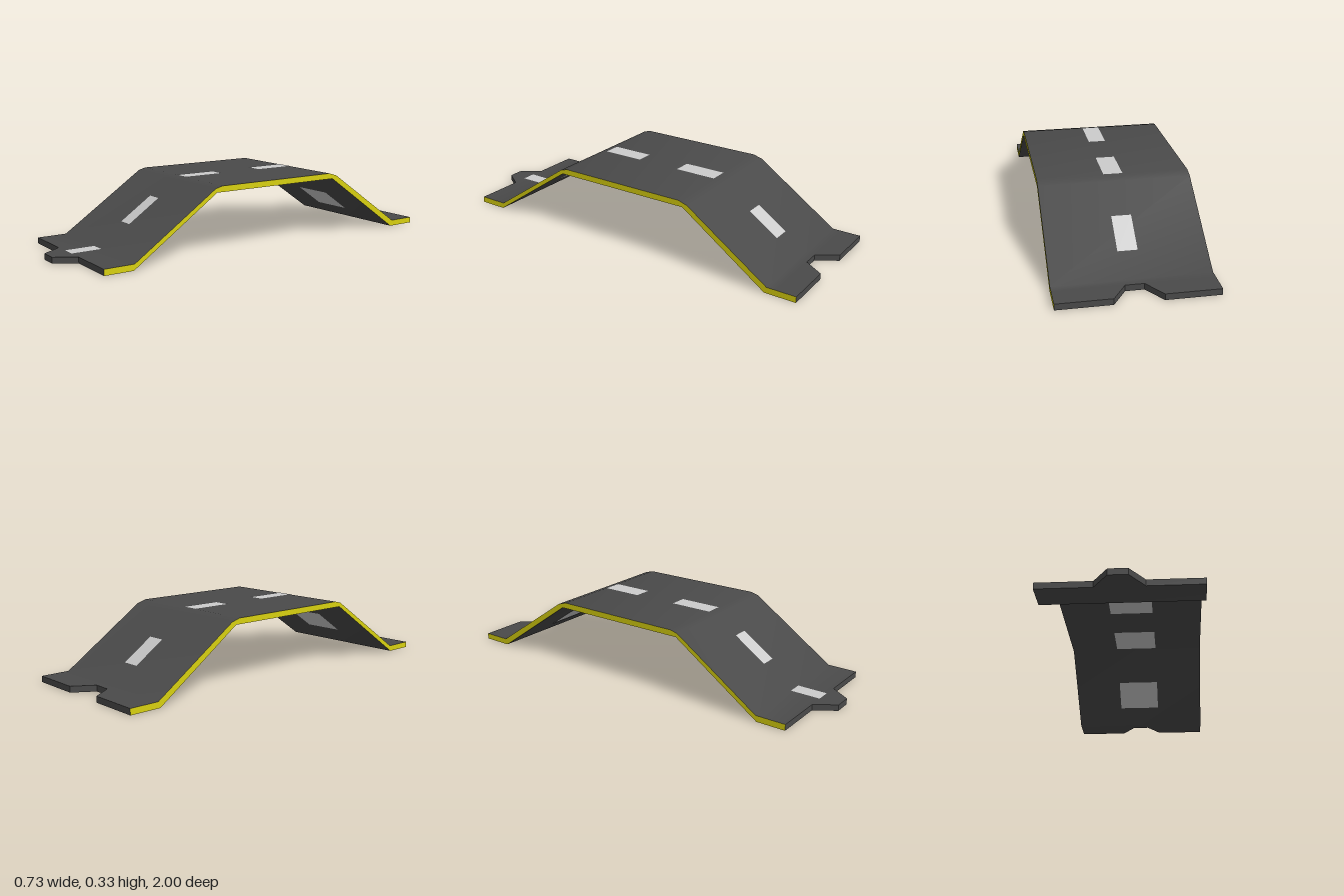
import * as THREE from 'three';
import { mergeVertices, toCreasedNormals } from 'three/addons/utils/BufferGeometryUtils.js';

const W = 0.363;        // half width of the road
const OUT = 0.11;       // wide half width of tab and notch
const IN = 0.043;       // narrow half width of tab and notch

// Road profile, front to back: [top z, top y, bottom z, bottom y]
const PROFILE = [
  [0.9, 0.03, 0.9, 0], [0.75, 0.03, 0.755, 0],
  [0.318, 0.322, 0.31, 0.303], [0.28, 0.332, 0.28, 0.303],
  [-0.385, 0.332, -0.385, 0.303], [-0.432, 0.318, -0.407, 0.303],
  [-0.855, 0.03, -0.845, 0], [-0.9, 0.03, -0.9, 0],
];

// Collects quads whose corners run counter-clockwise seen from outside
class Panels {
  points = [];
  quad(a, b, c, d) {
    this.points.push(...a, ...b, ...c, ...a, ...c, ...d);
  }
  // The same quad on both sides of x = 0
  pair(a, b, c, d) {
    const flip = ([x, y, z]) => [-x, y, z];
    this.quad(a, b, c, d);
    this.quad(flip(d), flip(c), flip(b), flip(a));
  }
  mesh(name, color) {
    const g = new THREE.BufferGeometry();
    g.setAttribute('position', new THREE.Float32BufferAttribute(this.points, 3));
    const geometry = toCreasedNormals(mergeVertices(g), 0.75);
    const mesh = new THREE.Mesh(geometry, new THREE.MeshStandardMaterial({ color }));
    mesh.name = name;
    return mesh;
  }
}

// Height of the top (k = 0) or the bottom (k = 2) of the road at z
function heightAt(z, k) {
  for (let i = 0; i < PROFILE.length - 1; i++) {
    const p = PROFILE[i], q = PROFILE[i + 1];
    if (z <= p[k] && z >= q[k]) {
      return THREE.MathUtils.mapLinear(z, p[k], q[k], p[k + 1], q[k + 1]);
    }
  }
  return PROFILE[0][k + 1];
}

export function createModel() {
  const road = new Panels(), edge = new Panels();
  const dashes = new Panels(), underDashes = new Panels();
  const T = 0.03;

  // Bent slab with coloured side edges
  for (let i = 0; i < PROFILE.length - 1; i++) {
    const [z0, y0, u0, v0] = PROFILE[i], [z1, y1, u1, v1] = PROFILE[i + 1];
    road.quad([-W, y0, z0], [W, y0, z0], [W, y1, z1], [-W, y1, z1]);
    road.quad([-W, v1, u1], [W, v1, u1], [W, v0, u0], [-W, v0, u0]);
    edge.pair([W, v0, u0], [W, v1, u1], [W, y1, z1], [W, y0, z0]);
  }

  // Front end and its tapered tab
  road.pair([OUT, 0, 0.9], [W, 0, 0.9], [W, T, 0.9], [OUT, T, 0.9]);
  road.quad([-OUT, T, 0.9], [-IN, T, 1], [IN, T, 1], [OUT, T, 0.9]);
  road.quad([OUT, 0, 0.9], [IN, 0, 1], [-IN, 0, 1], [-OUT, 0, 0.9]);
  road.pair([IN, 0, 1], [OUT, 0, 0.9], [OUT, T, 0.9], [IN, T, 1]);
  road.quad([-IN, 0, 1], [IN, 0, 1], [IN, T, 1], [-IN, T, 1]);

  // Back end with the matching notch
  road.pair([IN, T, -0.9], [W, T, -0.9], [W, T, -1], [OUT, T, -1]);
  road.pair([OUT, 0, -1], [W, 0, -1], [W, 0, -0.9], [IN, 0, -0.9]);
  road.pair([W, 0, -1], [OUT, 0, -1], [OUT, T, -1], [W, T, -1]);
  road.pair([OUT, 0, -1], [IN, 0, -0.9], [IN, T, -0.9], [OUT, T, -1]);
  road.quad([IN, 0, -0.9], [-IN, 0, -0.9], [-IN, T, -0.9], [IN, T, -0.9]);
  edge.pair([W, 0, -0.9], [W, 0, -1], [W, T, -1], [W, T, -0.9]);

  // Centre line dashes: [front z, back z, half width, also underneath]
  const lift = 0.0015;
  for (const [z0, z1, w, under] of [
    [0.9, 0.75, 0.037, false], [0.6, 0.437, 0.04, true], [0.28, 0.06, 0.043, true],
    [-0.17, -0.385, 0.046, true], [-0.59, -0.74, 0.046, true],
  ]) {
    const a = heightAt(z0, 0) + lift, b = heightAt(z1, 0) + lift;
    dashes.quad([-w, a, z0], [w, a, z0], [w, b, z1], [-w, b, z1]);
    if (!under) continue;
    const c = heightAt(z0, 2) - lift, d = heightAt(z1, 2) - lift;
    underDashes.quad([-OUT, d, z1], [OUT, d, z1], [OUT, c, z0], [-OUT, c, z0]);
  }

  const group = new THREE.Group();
  group.name = 'roadRamp';
  group.add(
    road.mesh('roadSlab', 0x4a4a4a),
    edge.mesh('sideEdges', 0xd8d010),
    dashes.mesh('centreLineDashes', 0xcccccc),
    underDashes.mesh('undersideDashes', 0xcccccc),
  );
  return group;
}
